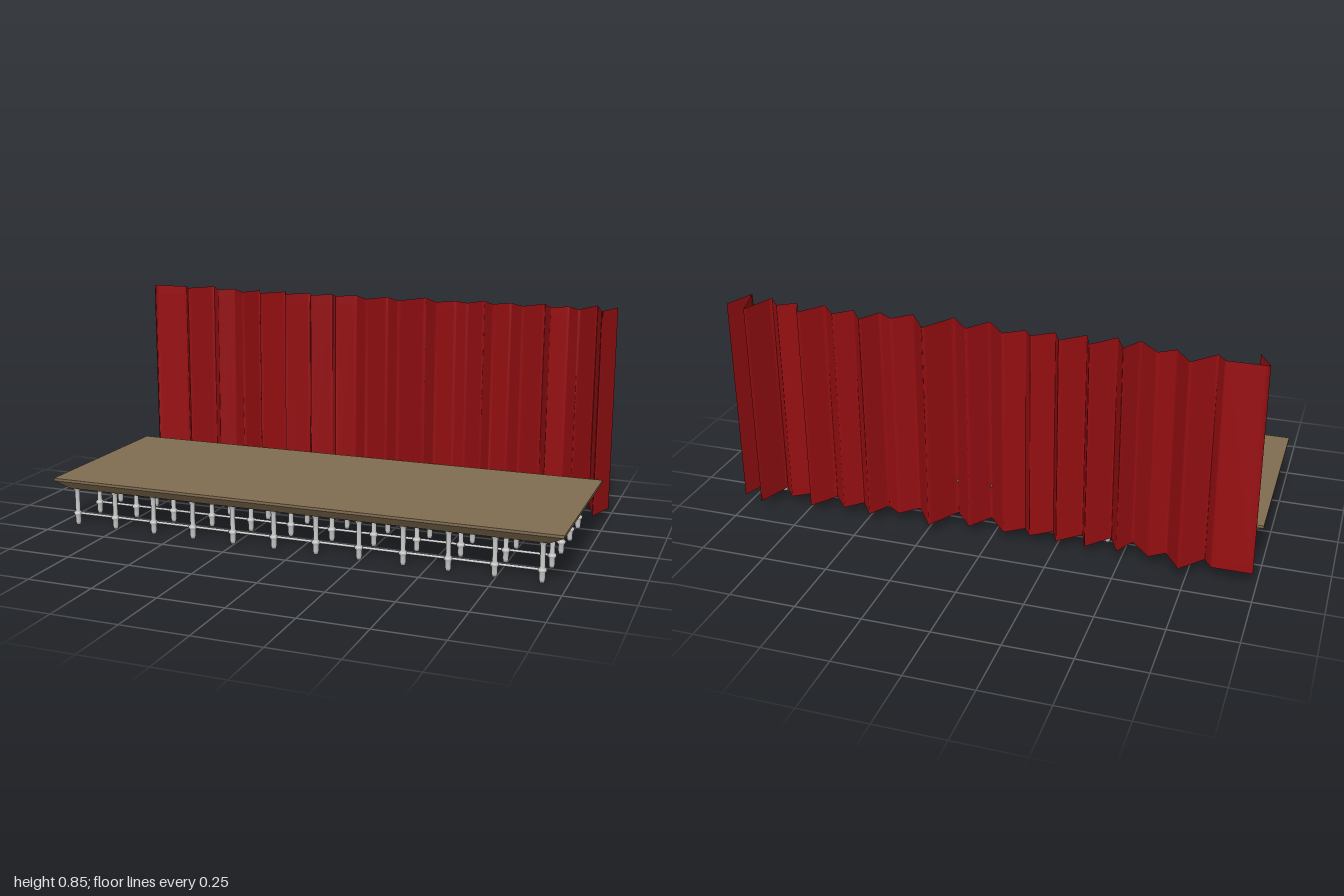
import * as THREE from 'three';

const LEG_COLUMNS = 12, LEG_ROWS = 5;
const LEG_X0 = -0.925, LEG_X1 = 0.91, LEG_Z0 = 0.395, LEG_Z1 = -0.253;

// Thin-lipped deck whose underside tapers inward
function createDeck(material) {
  const box = new THREE.BoxGeometry(1.99, 2, 0.735, 1, 2, 1);
  const pos = box.attributes.position;
  for (let i = 0; i < pos.count; i++) {
    const level = Math.round(pos.getY(i)); // -1 bottom, 0 lip, 1 top
    pos.setY(i, [0.15, 0.18, 0.19][level + 1]);
    if (level < 0) {
      pos.setX(i, pos.getX(i) - Math.sign(pos.getX(i)) * 0.055);
      pos.setZ(i, pos.getZ(i) - Math.sign(pos.getZ(i)) * 0.022);
    }
  }
  const geometry = box.toNonIndexed();
  geometry.computeVertexNormals();
  const deck = new THREE.Mesh(geometry, material);
  deck.name = 'stageDeck';
  deck.position.set(-0.005, 0, 0.0725);
  return deck;
}

// Turned legs in a grid, each row tied together by a thin rail
function createSupports(material) {
  const group = new THREE.Group();
  group.name = 'supports';
  const profile = [
    [0, 0], [0.008, 0], [0.011, 0.012], [0.011, 0.036], [0.016, 0.041],
    [0.016, 0.049], [0.0095, 0.055], [0.0095, 0.135], [0.017, 0.148], [0.017, 0.152],
  ].map(([r, y]) => new THREE.Vector2(r, y));
  const legGeometry = new THREE.LatheGeometry(profile, 12);
  const railGeometry = new THREE.CylinderGeometry(0.005, 0.005, LEG_X1 - LEG_X0, 8);
  railGeometry.rotateZ(Math.PI / 2);

  for (let row = 0; row < LEG_ROWS; row++) {
    const z = THREE.MathUtils.lerp(LEG_Z0, LEG_Z1, row / (LEG_ROWS - 1));
    for (let col = 0; col < LEG_COLUMNS; col++) {
      const leg = new THREE.Mesh(legGeometry, material);
      leg.name = 'leg';
      leg.position.set(THREE.MathUtils.lerp(LEG_X0, LEG_X1, col / (LEG_COLUMNS - 1)), 0, z);
      group.add(leg);
    }
    const rail = new THREE.Mesh(railGeometry, material);
    rail.name = 'rail';
    rail.position.set((LEG_X0 + LEG_X1) / 2, 0.046, z);
    group.add(rail);
  }
  return group;
}

// Pleated open sheet: an irregular zigzag swept upward, with a hem row at each end
function createCurtain(material) {
  const folds = [
    [-0.94, -0.30], [-0.985, -0.39], [-0.836, -0.39], [-0.805, -0.345], [-0.726, -0.435],
    [-0.664, -0.345], [-0.607, -0.386], [-0.531, -0.305], [-0.489, -0.387], [-0.449, -0.30],
    [-0.37, -0.388], [-0.342, -0.31], [-0.26, -0.383], [-0.231, -0.32], [-0.156, -0.374],
    [-0.125, -0.33], [-0.055, -0.38], [0.02, -0.29], [0.081, -0.377], [0.155, -0.29],
    [0.23, -0.415], [0.307, -0.305], [0.37, -0.366], [0.428, -0.324], [0.475, -0.406],
    [0.53, -0.33], [0.588, -0.387], [0.65, -0.317], [0.717, -0.412], [0.757, -0.325],
    [0.819, -0.368], [0.87, -0.306], [0.916, -0.44], [0.96, -0.288], [1.0, -0.41],
  ];
  // Extra points near each crease keep the panels flat and the creases soft
  const line = [];
  folds.forEach(([x, z], i) => {
    line.push([x, z]);
    const next = folds[i + 1];
    if (!next) return;
    for (const t of [0.12, 0.88]) line.push([x + (next[0] - x) * t, z + (next[1] - z) * t]);
  });
  const heights = [0.045, 0.08, 0.81, 0.845];
  const positions = [], indices = [];
  for (const y of heights) for (const [x, z] of line) positions.push(x, y, z);
  const n = line.length;
  for (let r = 0; r < heights.length - 1; r++) {
    for (let i = 0; i < n - 1; i++) {
      const a = r * n + i, b = a + 1, c = a + n, d = c + 1;
      indices.push(a, b, d, a, d, c);
    }
  }
  const geometry = new THREE.BufferGeometry();
  geometry.setAttribute('position', new THREE.Float32BufferAttribute(positions, 3));
  geometry.setIndex(indices);
  geometry.computeVertexNormals();
  const curtain = new THREE.Mesh(geometry, material);
  curtain.name = 'backCurtain';
  return curtain;
}

export function createModel() {
  const wood = new THREE.MeshStandardMaterial({ color: 0x806d50 });
  const metal = new THREE.MeshStandardMaterial({ color: 0xcccccc });
  const cloth = new THREE.MeshStandardMaterial({ color: 0x990f12, side: THREE.DoubleSide });
  const model = new THREE.Group();
  model.name = 'stage';
  model.add(createDeck(wood), createSupports(metal), createCurtain(cloth));
  return model;
}
